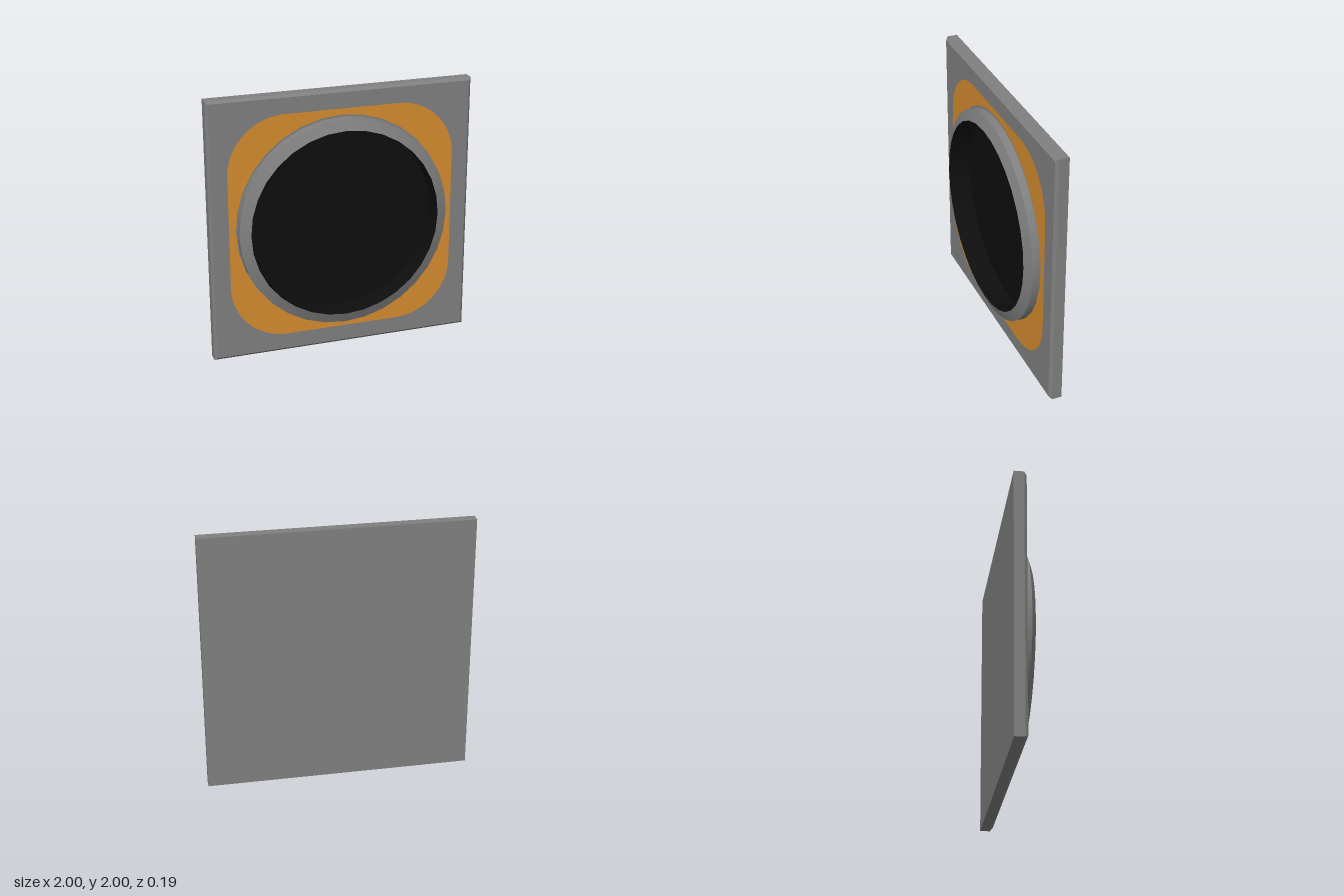
import * as THREE from 'three';
import { toCreasedNormals } from 'three/addons/utils/BufferGeometryUtils.js';

const CENTRE_Y = 1;

function material(name, color) {
  const m = new THREE.MeshStandardMaterial({ color });
  m.name = name;
  return m;
}

// Revolves [radius, z] points about the z axis
function turned(points, segments, spin = 0) {
  const profile = points.map(([r, z]) => new THREE.Vector2(r, z));
  const geometry = new THREE.LatheGeometry(profile, segments);
  geometry.rotateY(spin).rotateX(Math.PI / 2);
  return toCreasedNormals(geometry, 0.35);
}

// Square outline with optional rounded corners and a round hole
function squareWithHole(half, corner, holeRadius, holeX = 0, holeY = 0) {
  const shape = new THREE.Shape();
  const c = half - corner;
  [[c, c], [-c, c], [-c, -c], [c, -c]].forEach(([x, y], i) => {
    if (corner > 0) shape.absarc(x, y, corner, i * Math.PI / 2, (i + 1) * Math.PI / 2, false);
    else if (i === 0) shape.moveTo(x, y);
    else shape.lineTo(x, y);
  });
  shape.closePath();
  const hole = new THREE.Path();
  hole.absarc(holeX, holeY, holeRadius, 0, Math.PI * 2, true);
  shape.holes.push(hole);
  return new THREE.ShapeGeometry(shape, 16);
}

export function createModel() {
  const model = new THREE.Group();
  model.name = 'roundPortPanel';
  const grey = material('grey', 0x808080);
  const orange = material('orange', 0xd68c2f);
  const black = material('black', 0x0e0e0e);

  function add(name, geometry, mat, z = 0) {
    const mesh = new THREE.Mesh(geometry, mat);
    mesh.name = name;
    mesh.position.set(0, CENTRE_Y, z);
    model.add(mesh);
  }

  // Square plate: back, sides and chamfered front edge
  const d = Math.SQRT2;
  add('plateBody', turned([[0, -0.095], [d, -0.095], [d, -0.02], [0.98 * d, 0]], 4, Math.PI / 4), grey);
  add('plateFront', squareWithHole(0.98, 0, 0.76), grey);

  // Painted rounded square around the ring
  add('paintedPanel', squareWithHole(0.86, 0.43, 0.807, -0.003, 0.008), orange, 0.002);

  // Raised ring with a sloping lip
  add('ring', turned([[0.8, 0], [0.8, 0.06], [0.72, 0.095]], 32), grey);

  // Dark well inside the ring
  add('recess', turned([[0.72, 0.095], [0.72, -0.08], [0, -0.08]], 32), black);
  model.getObjectByName('recess').material.side = THREE.DoubleSide;

  return model;
}
